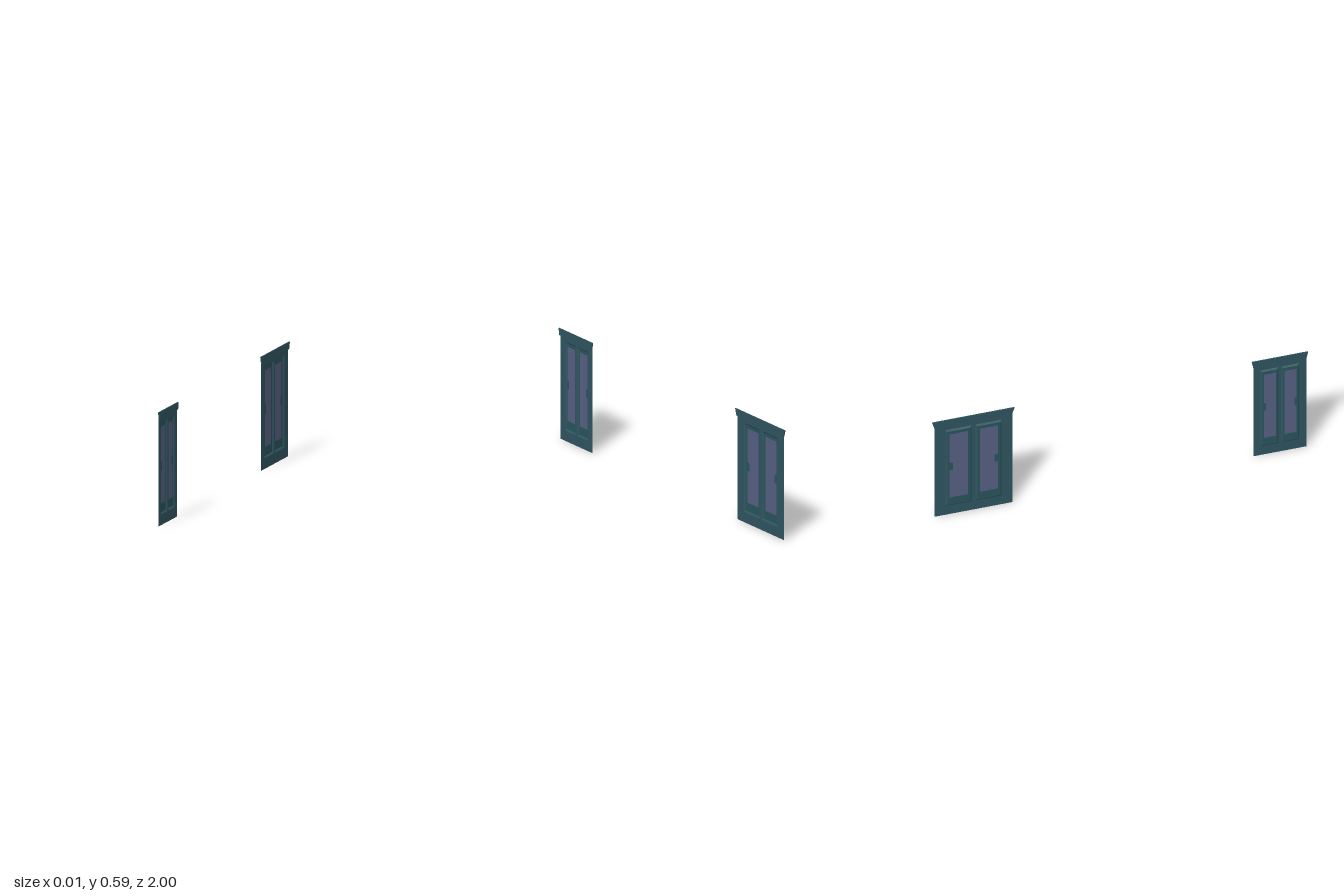
import * as THREE from 'three';

const mat = (name, color) => new THREE.MeshStandardMaterial({ name, color, side: THREE.DoubleSide });

// Closed rectangle outline, u across and v up
function rect(u0, u1, v0, v1, Type = THREE.Shape) {
  const s = new Type();
  s.moveTo(u0, v0);
  s.lineTo(u1, v0);
  s.lineTo(u1, v1);
  s.lineTo(u0, v1);
  s.closePath();
  return s;
}

// Four sloping faces joining an outer rectangle to a smaller one set back
function bevelGeometry(u0, u1, v0, v1, inset, depth) {
  const outer = [[u0, v0, 0], [u1, v0, 0], [u1, v1, 0], [u0, v1, 0]];
  const inner = [[u0 + inset, v0 + inset, -depth], [u1 - inset, v0 + inset, -depth],
    [u1 - inset, v1 - inset, -depth], [u0 + inset, v1 - inset, -depth]];
  const pos = [];
  for (let i = 0; i < 4; i++) {
    const j = (i + 1) % 4;
    pos.push(...outer[i], ...outer[j], ...inner[j], ...outer[i], ...inner[j], ...inner[i]);
  }
  const g = new THREE.BufferGeometry();
  g.setAttribute('position', new THREE.Float32BufferAttribute(pos, 3));
  g.computeVertexNormals();
  return g;
}

export function createModel() {
  const frameTeal = mat('frame teal', 0x2f545f);
  const doorTeal = mat('door teal', 0x27545b);
  const glassViolet = mat('glass violet', 0x565f82);
  const DEPTH = 0.007, INSET = 0.008;
  const DOOR = [0.055, 0.53], GLASS = [0.108, 0.504];

  function add(parent, name, geometry, material) {
    const m = new THREE.Mesh(geometry, material);
    m.name = name;
    parent.add(m);
    return m;
  }

  function doorway(name, u0, u1, doors, margin, flare, handleWidth) {
    const g = new THREE.Group();
    g.name = name;

    // Flat surround with two door openings
    const wall = rect(u0, u1, 0, 0.555);
    doors.forEach(([a, b]) => wall.holes.push(rect(a, b, ...DOOR, THREE.Path)));
    add(g, 'surround', new THREE.ShapeGeometry(wall), frameTeal);

    // Flared cornice
    const top = new THREE.Shape([[u0, 0.553], [u1, 0.553], [u1 + flare, 0.59], [u0 - flare, 0.59]]
      .map(p => new THREE.Vector2(...p)));
    add(g, 'cornice', new THREE.ExtrudeGeometry(top, { depth: 0.006, bevelEnabled: false }), frameTeal);

    doors.forEach(([a, b], i) => {
      const door = new THREE.Group();
      door.name = i ? 'rightDoor' : 'leftDoor';
      g.add(door);
      add(door, 'bevel', bevelGeometry(a, b, ...DOOR, INSET, DEPTH), frameTeal);

      // Recessed leaf with a window
      const leaf = rect(a + INSET, b - INSET, DOOR[0] + INSET, DOOR[1] - INSET);
      leaf.holes.push(rect(a + margin, b - margin, ...GLASS, THREE.Path));
      add(door, 'leaf', new THREE.ShapeGeometry(leaf), doorTeal).position.z = -DEPTH;
      add(door, 'glass', new THREE.ShapeGeometry(rect(a + margin, b - margin, ...GLASS)), glassViolet)
        .position.z = -DEPTH;

      // Handle plate on the outer edge, showing on both faces
      const u = i ? b - margin - handleWidth / 2 : a + margin + handleWidth / 2;
      add(door, 'handle', new THREE.BoxGeometry(handleWidth, 0.046, 0.001), doorTeal)
        .position.set(u, 0.302, -DEPTH);
    });

    g.rotation.y = Math.PI / 2; // face +x
    return g;
  }

  const model = new THREE.Group();
  model.name = 'doorways';
  model.add(
    doorway('narrowDoorway', -0.992, -0.709, [[-0.952, -0.856], [-0.842, -0.746]], 0.016, 0.008, 0.012),
    doorway('wideDoorway', 0.574, 0.988, [[0.631, 0.77], [0.791, 0.93]], 0.021, 0.012, 0.018),
  );
  return model;
}
